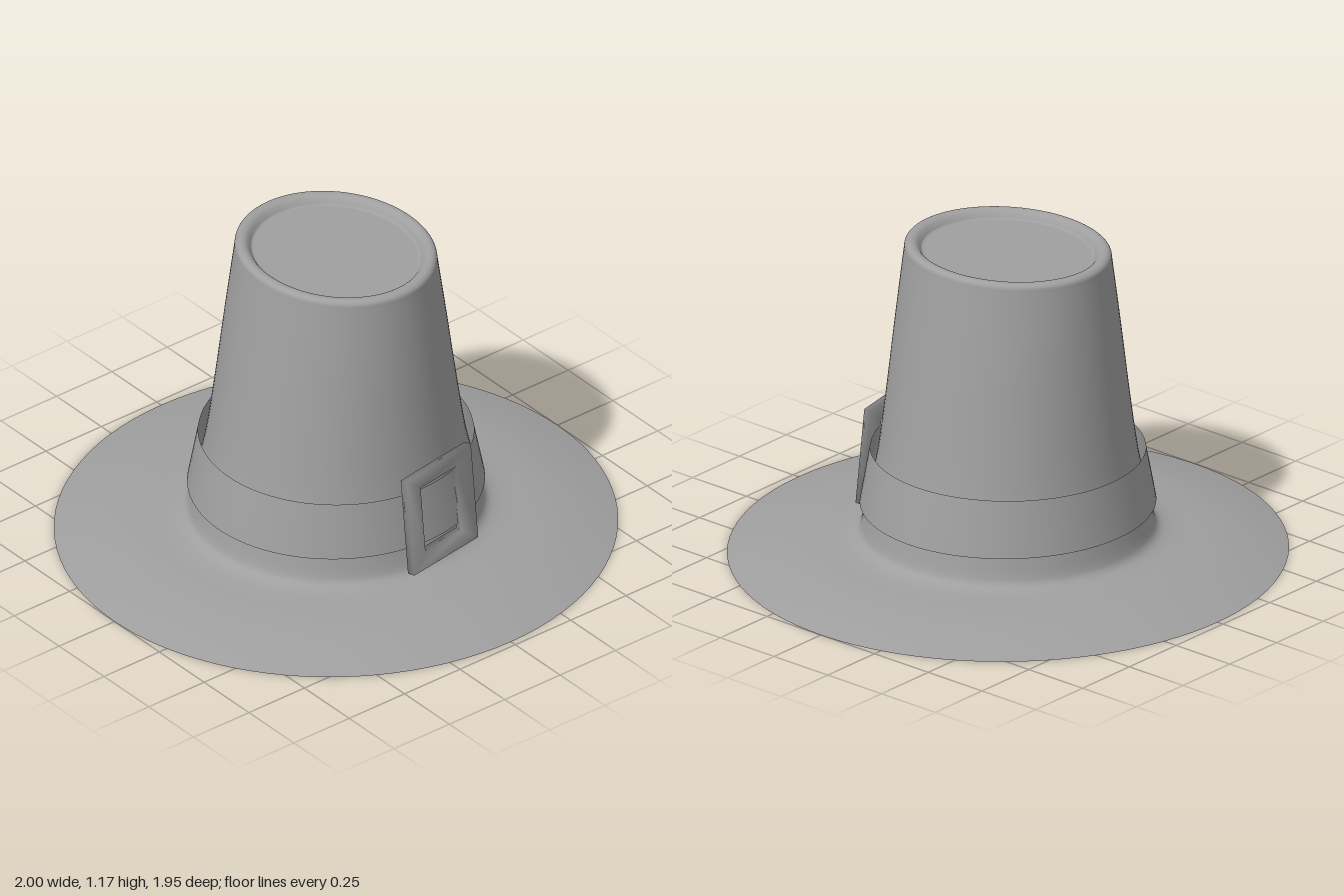
import * as THREE from 'three';
import { mergeVertices } from 'three/addons/utils/BufferGeometryUtils.js';

const material = new THREE.MeshStandardMaterial({ color: 0x9f9f9f, side: THREE.DoubleSide });

// Depth-to-width ratio at a height: nearly round below, oval at the top
function ovalRatio(y) {
  const t = Math.max(0, (y - 0.19) / 0.95);
  return 0.976 + 0.169 * Math.pow(t, 1.25);
}

// Revolve a profile of [radius, height], then squash each ring into its oval
function ovalLathe(points, name) {
  const lathe = new THREE.LatheGeometry(points, 96);
  const pos = lathe.attributes.position;
  for (let i = 0; i < pos.count; i++) pos.setZ(i, pos.getZ(i) * ovalRatio(pos.getY(i)));
  lathe.deleteAttribute('uv');
  lathe.deleteAttribute('normal');
  const geometry = mergeVertices(lathe, 1e-5); // closes the seam
  geometry.computeVertexNormals();
  const mesh = new THREE.Mesh(geometry, material);
  mesh.name = name;
  return mesh;
}

const toPoints = (list) => list.map(([r, y]) => new THREE.Vector2(r, y));

// Mitred rectangular frame: each section row is [half width, half height, depth]
function frameGeometry(section) {
  const positions = [], index = [];
  for (const [w, h, z] of section) {
    positions.push(-w, -h, z, w, -h, z, w, h, z, -w, h, z);
  }
  const n = section.length;
  for (let s = 0; s < n; s++) {
    for (let c = 0; c < 4; c++) {
      const a = s * 4 + c, b = s * 4 + (c + 1) % 4;
      const d = ((s + 1) % n) * 4 + c, e = ((s + 1) % n) * 4 + (c + 1) % 4;
      index.push(a, b, e, a, e, d);
    }
  }
  const geometry = new THREE.BufferGeometry();
  geometry.setAttribute('position', new THREE.Float32BufferAttribute(positions, 3));
  geometry.setIndex(index);
  geometry.computeVertexNormals();
  return geometry;
}

export function createModel() {
  const hat = new THREE.Group();
  hat.name = 'buckledHat';

  // Brim and crown: one hollow felt shell with a dished top
  const brim = new THREE.SplineCurve(toPoints([
    [1, 0], [0.93, 0.018], [0.86, 0.034], [0.78, 0.049], [0.7, 0.059], [0.62, 0.066],
    [0.565, 0.075], [0.535, 0.09], [0.52, 0.12], [0.505, 0.19],
  ])).getPoints(54);
  const wall = new THREE.SplineCurve(toPoints([
    [0.505, 0.19], [0.479, 0.29], [0.454, 0.4], [0.417, 0.62], [0.377, 0.88], [0.337, 1.135],
  ])).getPoints(24).slice(1);
  const top = new THREE.SplineCurve(toPoints([
    [0.337, 1.135], [0.334, 1.152], [0.324, 1.163], [0.31, 1.165], [0.297, 1.16],
    [0.287, 1.148], [0.28, 1.137], [0.268, 1.135],
  ])).getPoints(28).slice(1);
  const floor = toPoints([[0.25, 1.135], [0.12, 1.135], [0, 1.135]]);
  hat.add(ovalLathe([...brim, ...wall, ...top, ...floor], 'brimAndCrown'));

  // Band: a flared strip standing slightly off the crown
  hat.add(ovalLathe(toPoints([[0.528, 0.19], [0.506, 0.295], [0.484, 0.395]]), 'hatBand'));

  // Buckle: square-sectioned frame, turned and leaning back against the band
  const buckle = new THREE.Mesh(frameGeometry([
    [0.171, 0.186, -0.016], [0.171, 0.186, 0.013],
    [0.096, 0.128, 0.006], [0.096, 0.122, -0.018],
  ]), material);
  buckle.name = 'buckle';
  buckle.rotation.set(-0.11, 0.175, 0);
  buckle.position.set(0.058, 0.295, 0.507);
  hat.add(buckle);

  return hat;
}
